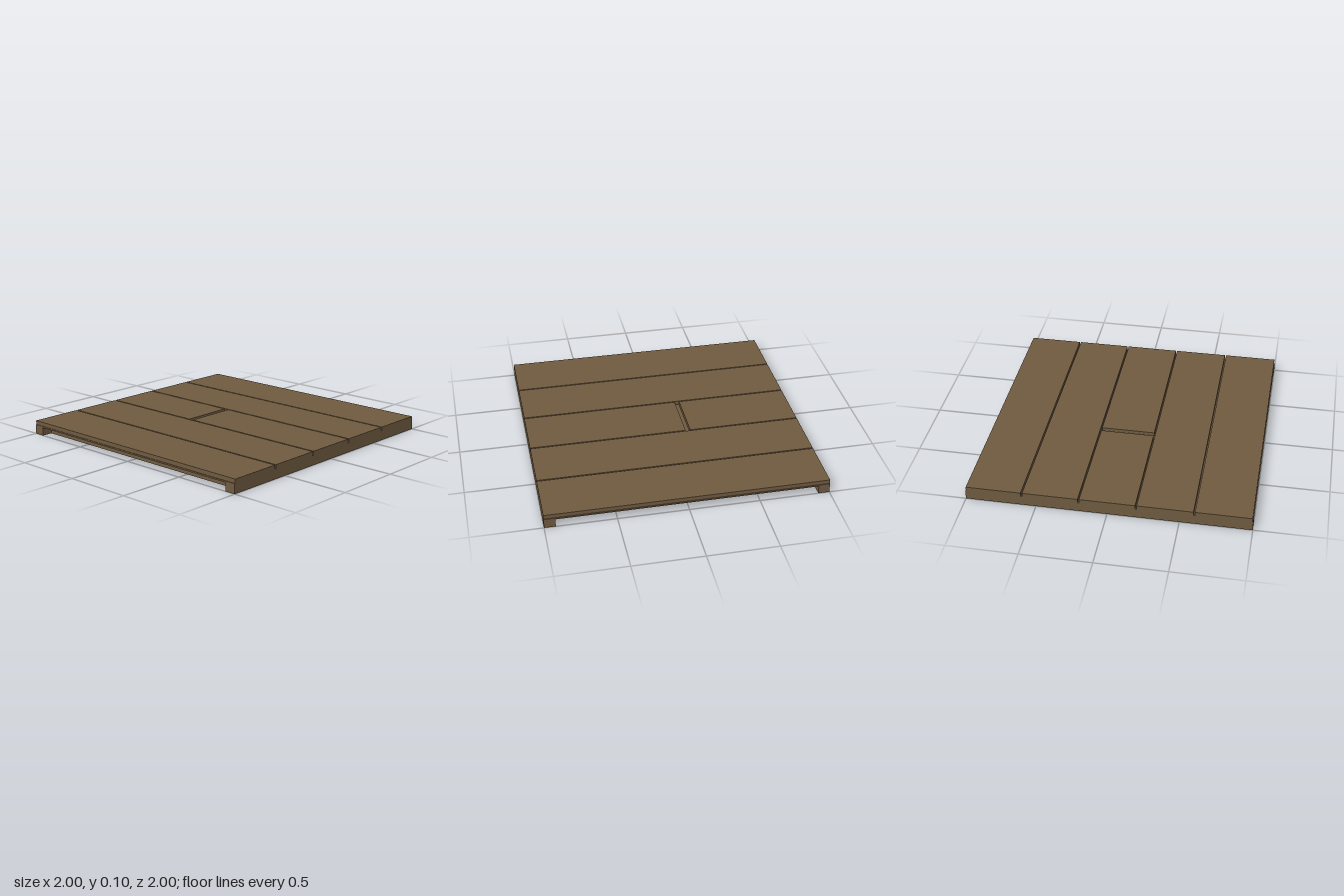
import * as THREE from 'three';

export function createModel() {
  const model = new THREE.Group();
  model.name = 'woodenPlatform';
  const wood = new THREE.MeshStandardMaterial({ color: 0x6f5a40 });
  wood.name = 'brown wood';

  // Box given by its lower and upper bounds on each axis
  const addBox = (name, [x0, x1], [y0, y1], [z0, z1]) => {
    const mesh = new THREE.Mesh(new THREE.BoxGeometry(x1 - x0, y1 - y0, z1 - z0), wood);
    mesh.position.set((x0 + x1) / 2, (y0 + y1) / 2, (z0 + z1) / 2);
    mesh.name = name;
    model.add(mesh);
  };

  const beamTop = 0.06, plankBottom = 0.07, top = 0.1;

  // Thin sheet under the planks
  addBox('baseSheet', [-1, 1], [beamTop, plankBottom], [-1, 1]);

  // End beams across the front and back
  addBox('frontBeam', [-1, 1], [0, beamTop], [0.92, 1]);
  addBox('backBeam', [-1, 1], [0, beamTop], [-1, -0.92]);

  // Three joists running front to back between the end beams
  for (const x of [-0.845, 0, 0.845]) {
    addBox('joist', [x - 0.075, x + 0.075], [0, beamTop], [-0.92, 0.92]);
  }

  // Five planks with narrow gaps; the middle one is in two pieces
  for (let i = -2; i <= 2; i++) {
    const pieces = i === 0 ? [[-1, -0.185], [-0.15, 1]] : [[-1, 1]];
    for (const z of pieces) {
      addBox('plank', [i * 0.4 - 0.195, i * 0.4 + 0.195], [plankBottom, top], z);
    }
  }
  return model;
}
